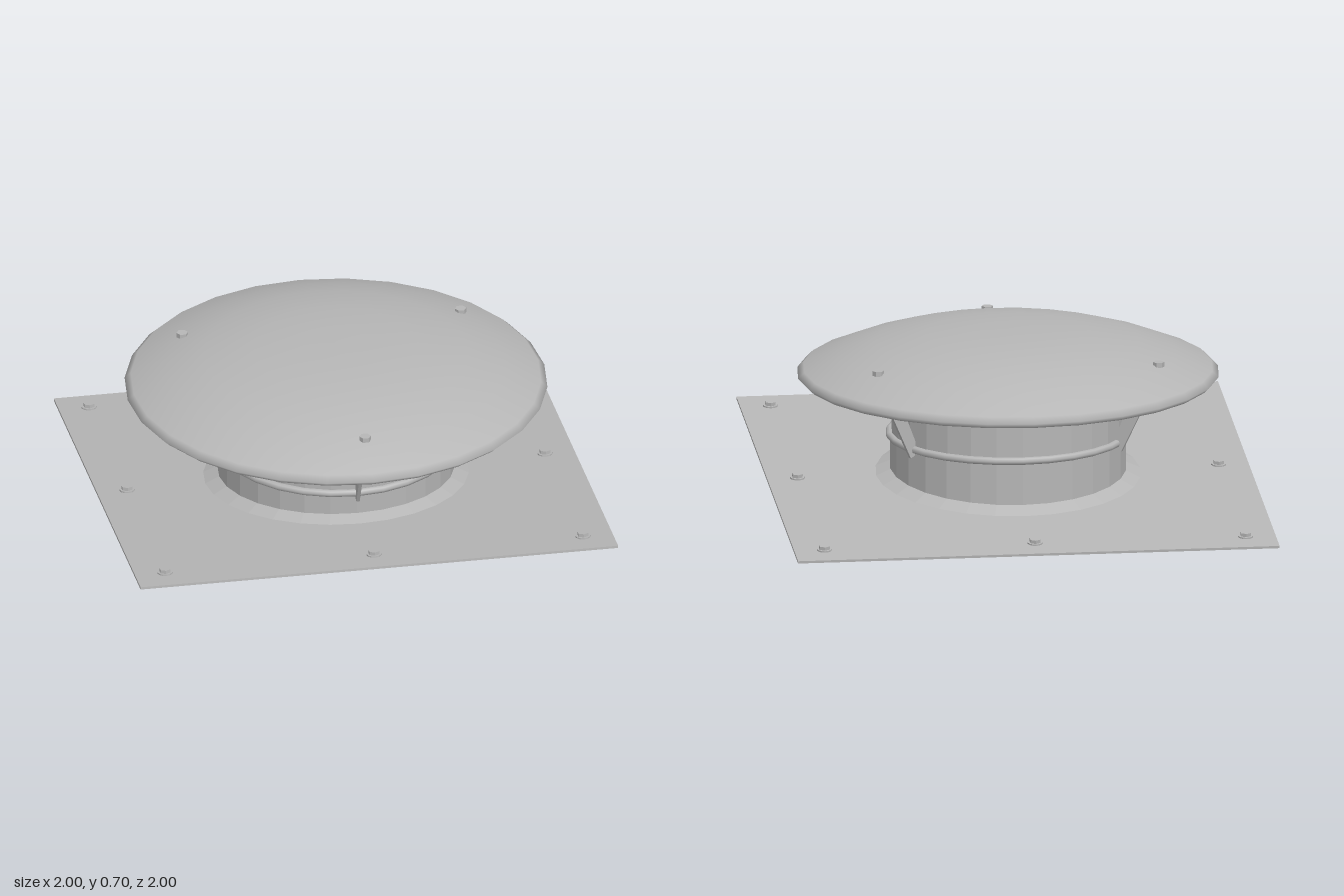
import * as THREE from 'three';

const SIDES = 28;
const SLOPE = 0.095; // rise of the base plate per unit of z
const PLATE_Y = 0.1; // plate centre height

export function createModel() {
  const model = new THREE.Group();
  model.name = 'roofVent';

  const steel = new THREE.MeshStandardMaterial({ color: 0xb6b6b6 });
  steel.name = 'galvanized steel';
  steel.side = THREE.DoubleSide;
  const facetedSteel = steel.clone();
  facetedSteel.flatShading = true;

  const add = (parent, name, geometry, material = facetedSteel) => {
    const mesh = new THREE.Mesh(geometry, material);
    mesh.name = name;
    parent.add(mesh);
    return mesh;
  };
  const lathe = (points, sides = SIDES) =>
    new THREE.LatheGeometry(points.map(([r, y]) => new THREE.Vector2(r, y)), sides);

  // Hex bolt on a round washer, standing on y = 0
  const addBolt = (parent, name, x, y, z, washer) => {
    const bolt = new THREE.Group();
    bolt.name = name;
    bolt.position.set(x, y, z);
    add(bolt, 'boltHead', new THREE.CylinderGeometry(0.024, 0.024, 0.02, 6)).position.y = 0.01;
    if (washer) add(bolt, 'washer', new THREE.CylinderGeometry(0.031, 0.031, 0.006, 12)).position.y = 0.003;
    parent.add(bolt);
  };

  // Sloping base: plate, collar and eight bolts
  const base = new THREE.Group();
  base.name = 'slopedBase';
  base.position.y = PLATE_Y;
  base.rotation.x = -Math.atan(SLOPE);
  model.add(base);
  add(base, 'basePlate', new THREE.BoxGeometry(2, 0.01, 2 * Math.hypot(1, SLOPE)));
  add(base, 'collar', lathe([[0.55, 0.004], [0.487, 0.033]]));
  for (const x of [-1, 0, 1]) {
    for (const z of [-1, 0, 1]) {
      if (x || z) addBolt(base, 'plateBolt', x * 0.875, 0.005, z * 0.88, true);
    }
  }

  // Lower pipe, its bottom rim cut along the slope
  const lower = new THREE.CylinderGeometry(0.489, 0.489, 1, SIDES, 1, true);
  const pos = lower.attributes.position;
  for (let i = 0; i < pos.count; i++) {
    pos.setY(i, pos.getY(i) > 0 ? 0.273 : PLATE_Y + SLOPE * pos.getZ(i));
  }
  add(model, 'lowerPipe', lower);

  // Upper pipe and the bead over the joint
  add(model, 'upperPipe', lathe([[0.489, 0.265], [0.482, 0.28], [0.482, 0.5], [0.472, 0.5], [0.472, 0.27]]));
  const bead = add(model, 'jointBead', new THREE.TorusGeometry(0.49, 0.016, 8, SIDES), steel);
  bead.rotation.x = Math.PI / 2;
  bead.position.y = 0.273;

  // Thin domed cap with a rolled rim
  add(model, 'cap', lathe([
    [0, 0.695], [0.34, 0.685], [0.545, 0.65], [0.7, 0.6], [0.83, 0.545],
    [0.855, 0.528], [0.835, 0.51], [0.835, 0.503], [0.85, 0.506], [0.872, 0.527], [0.846, 0.552],
    [0.7, 0.612], [0.545, 0.661], [0.34, 0.695], [0.14, 0.704], [0, 0.705],
  ]), steel);

  // Three flat brackets from the pipe to the cap, each with a bolt above
  const outline = new THREE.Shape([
    [0.485, 0.25], [0.508, 0.24], [0.64, 0.505], [0.692, 0.605], [0.618, 0.63], [0.57, 0.505], [0.485, 0.31],
  ].map(([r, y]) => new THREE.Vector2(r, y)));
  for (let i = 0; i < 3; i++) {
    const support = new THREE.Group();
    support.name = 'capSupport';
    support.rotation.y = -Math.PI / 2 + (i * Math.PI * 2) / 3;
    const strip = new THREE.ExtrudeGeometry(outline, { depth: 0.014, bevelEnabled: false });
    strip.translate(0, 0, -0.007);
    add(support, 'bracket', strip);
    addBolt(support, 'capBolt', 0.673, 0.617, 0, false);
    model.add(support);
  }

  return model;
}
